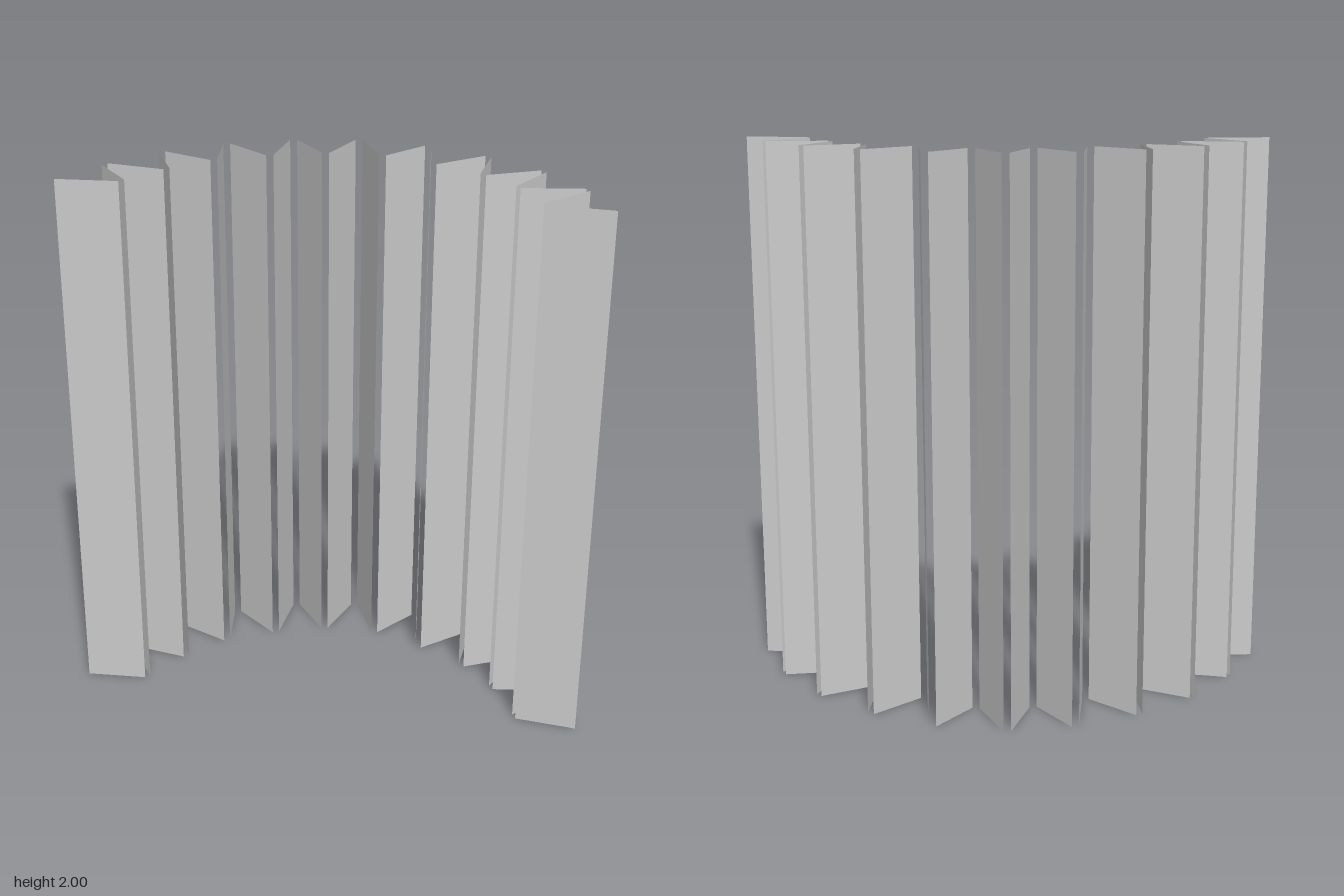
import * as THREE from 'three';

// Plan positions [x, z] of the folds, alternating outer and inner, along the arc
const FOLDS = [
  [-0.892, -0.155], [-0.658, -0.103], [-0.70, -0.322], [-0.492, -0.222],
  [-0.485, -0.447], [-0.315, -0.308], [-0.24, -0.517], [-0.11, -0.33],
  [0.012, -0.53], [0.092, -0.322], [0.25, -0.482], [0.288, -0.257],
  [0.48, -0.348], [0.438, -0.112], [0.655, -0.168], [0.573, 0.052],
  [0.79, 0.055], [0.645, 0.225], [0.865, 0.30], [0.675, 0.428], [0.878, 0.558],
].map(([x, z]) => new THREE.Vector2(x, z));

const HEIGHT = 2;
const HALF_GAP = 0.013;

// Direction of the arc at a fold, from its neighbours in the same row
function arcDirection(i) {
  const before = FOLDS[Math.max(i % 2, i - 2)];
  const after = FOLDS[i + 2] || FOLDS[i];
  return after.clone().sub(before).normalize();
}

// Upright thin sheet between two plan points
function makePanel(a, b, material) {
  const geometry = new THREE.PlaneGeometry(a.distanceTo(b), HEIGHT);
  const panel = new THREE.Mesh(geometry, material);
  panel.position.set((a.x + b.x) / 2, HEIGHT / 2, (a.y + b.y) / 2);
  panel.rotation.y = -Math.atan2(b.y - a.y, b.x - a.x);
  return panel;
}

export function createModel() {
  const model = new THREE.Group();
  model.name = 'pleatedScreen';
  const material = new THREE.MeshStandardMaterial({ color: 0xcccccc, side: THREE.DoubleSide });

  // Separate panels with a narrow slit at every fold
  for (let i = 0; i < FOLDS.length - 1; i++) {
    const start = FOLDS[i].clone().addScaledVector(arcDirection(i), HALF_GAP);
    const end = FOLDS[i + 1].clone().addScaledVector(arcDirection(i + 1), -HALF_GAP);
    const panel = makePanel(start, end, material);
    panel.name = `panel${i + 1}`;
    model.add(panel);
  }
  return model;
}
